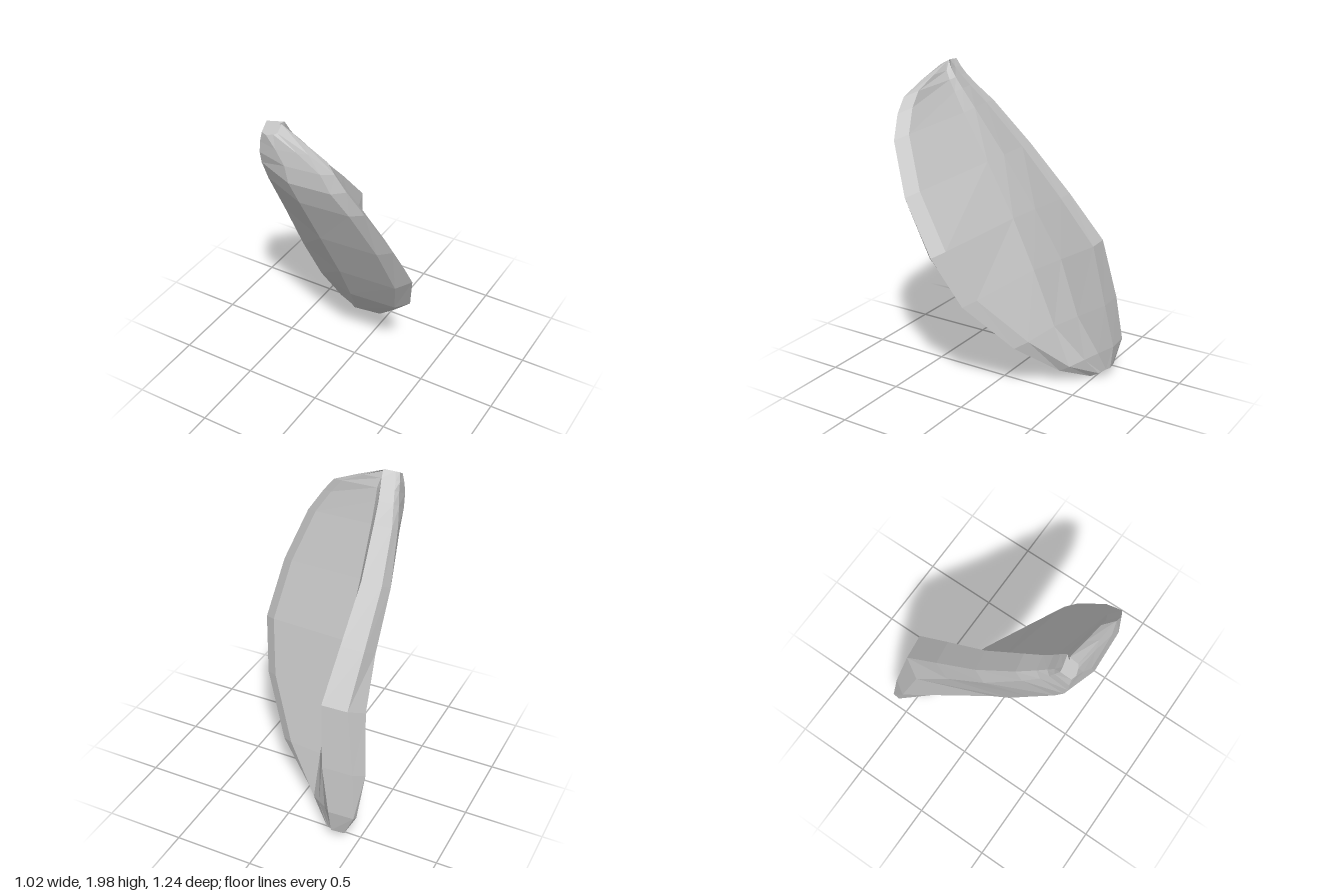
import * as THREE from 'three';

// Cross-sections along the leaning long axis:
// [u, rim x, rim n, front n, crease x, crease n, left x, ridge left x, ridge right x, ridge n, valley x, valley n]
const SECTIONS = [
  [-0.22, -0.27, -0.43, -0.41, -0.34, -0.43, -0.39, -0.42, -0.34, -0.55, -0.30, -0.50],
  [-0.09, -0.10, -0.35, -0.33, -0.25, -0.36, -0.49, -0.49, -0.33, -0.645, -0.20, -0.49],
  [0.19, 0.19, -0.32, -0.245, -0.20, -0.29, -0.51, -0.46, -0.27, -0.755, -0.12, -0.44],
  [0.57, 0.42, -0.27, -0.195, -0.22, -0.26, -0.455, -0.39, -0.23, -0.88, -0.13, -0.465],
  [0.92, 0.51, -0.28, -0.19, -0.25, -0.28, -0.41, -0.38, -0.235, -0.80, -0.14, -0.475],
  [1.31, 0.48, -0.264, -0.205, -0.265, -0.31, -0.385, -0.36, -0.235, -0.695, -0.14, -0.47],
  [1.65, 0.38, -0.285, -0.235, -0.265, -0.32, -0.325, -0.31, -0.20, -0.605, -0.13, -0.465],
  [1.79, 0.29, -0.32, -0.265, -0.265, -0.335, -0.29, -0.27, -0.18, -0.56, -0.125, -0.47],
  [1.87, 0.22, -0.36, -0.32, -0.26, -0.355, -0.27, -0.25, -0.165, -0.54, -0.12, -0.475],
  [1.93, 0.05, -0.40, -0.37, -0.255, -0.39, -0.262, -0.24, -0.155, -0.53, -0.13, -0.475],
  [1.985, -0.15, -0.44, -0.41, -0.24, -0.42, -0.25, -0.22, -0.15, -0.52, -0.16, -0.48],
];

// Axis frame to model space: u runs up and forward, n points out of the front
const place = (u, x, n) => new THREE.Vector3(x, 0.876 * u - 0.48 * n, 0.48 * u + 0.876 * n);

// Closed outline: rim, front face, left side, ridge, valley and back face
function outline([u, xr, nr, nf, xc, nc, xl, rl, rr, nRidge, xv, nv]) {
  const inset = Math.min(0.08, (xr - xc) * 0.2);
  const frontX = xr - inset, backX = Math.max(xr - inset, xv + 0.005);
  return [
    [xr, nr],
    [frontX, nf - 0.015],
    [frontX * 0.45 + xc * 0.55, nf],
    [xc, nc],
    [xl, nf * 0.22 + nRidge * 0.78],
    [rl, nRidge + 0.02],
    [rr, nRidge],
    [rr * 0.45 + xv * 0.55 - 0.01, nRidge * 0.45 + nv * 0.55],
    [xv, nv],
    [backX, Math.max(nr - 0.06, nv - 0.02)],
  ].map(([x, n]) => place(u, x, n));
}

function shellGeometry() {
  const loops = SECTIONS.map(outline);
  const count = loops[0].length;
  const points = [];
  const tri = (...corners) => points.push(...corners);
  // Skin between neighbouring sections
  for (let i = 0; i < loops.length - 1; i++) {
    for (let j = 0; j < count; j++) {
      const k = (j + 1) % count;
      const a = loops[i][j], b = loops[i][k], c = loops[i + 1][k], d = loops[i + 1][j];
      tri(a, d, b);
      tri(b, d, c);
    }
  }
  // End caps
  [loops[0], [...loops[loops.length - 1]].reverse()].forEach((loop) => {
    const centre = loop.reduce((s, p) => s.add(p), new THREE.Vector3()).divideScalar(count);
    loop.forEach((p, j) => tri(centre, p, loop[(j + 1) % count]));
  });
  const geometry = new THREE.BufferGeometry().setFromPoints(points);
  geometry.computeVertexNormals();
  return geometry;
}

export function createModel() {
  const group = new THREE.Group();
  group.name = 'foldedShell';
  const grey = new THREE.MeshStandardMaterial({ color: 0xc0c0c0, flatShading: true, side: THREE.DoubleSide });
  grey.name = 'light grey';
  const shell = new THREE.Mesh(shellGeometry(), grey);
  shell.name = 'plateAndRidge';
  group.add(shell);
  return group;
}
